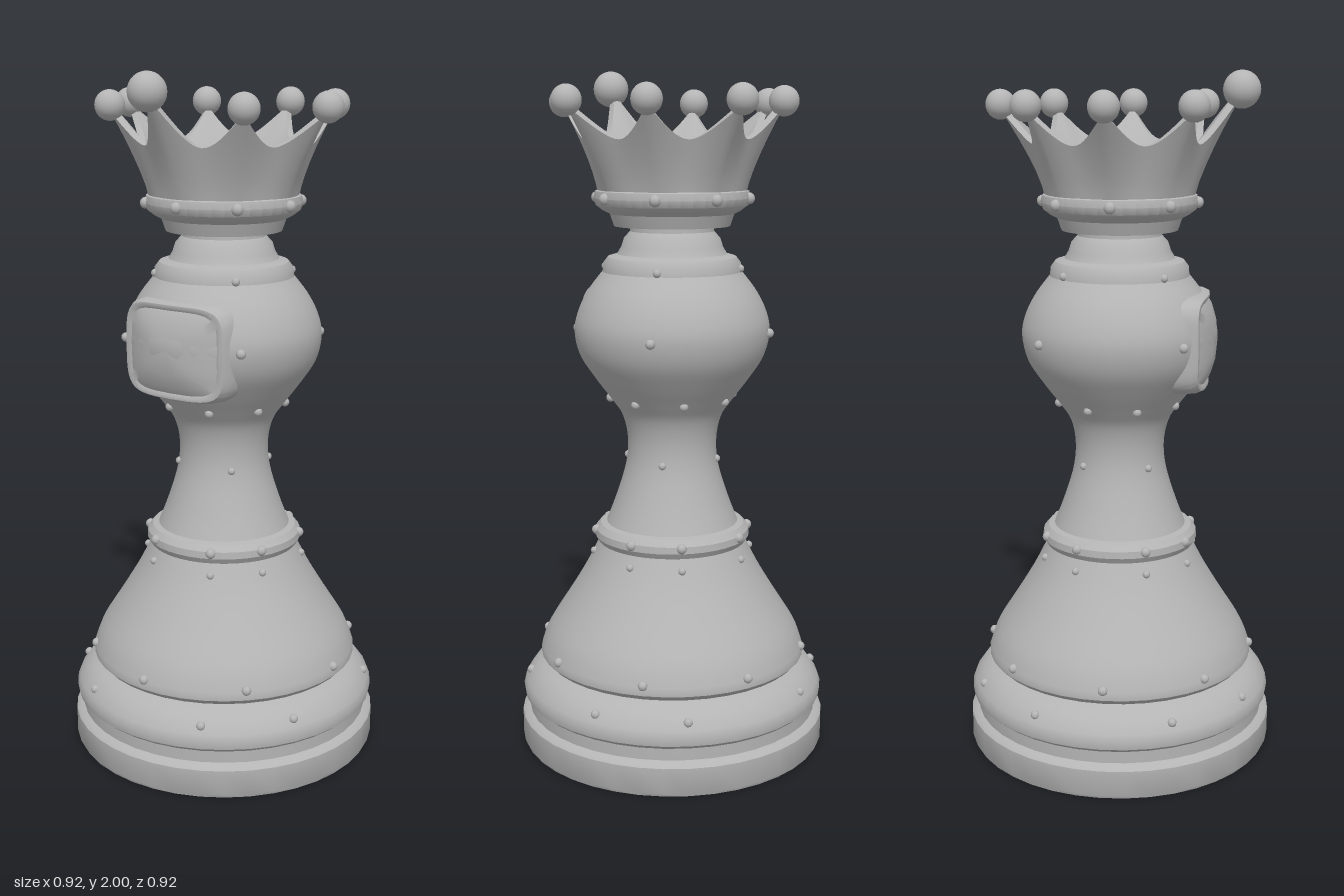
import * as THREE from 'three';
import { toCreasedNormals } from 'three/addons/utils/BufferGeometryUtils.js';
import { ParametricGeometry } from 'three/addons/geometries/ParametricGeometry.js';

const V2 = (p) => new THREE.Vector2(p[0], p[1]);

export function createModel() {
  const group = new THREE.Group();
  const stone = new THREE.MeshStandardMaterial({ color: 0xb4b4b4, side: THREE.DoubleSide });
  stone.name = 'grey stone';

  const add = (name, geometry, parent = group) => {
    const mesh = new THREE.Mesh(geometry, stone);
    mesh.name = name;
    parent.add(mesh);
    return mesh;
  };
  const turned = (name, points, sides = 40) =>
    add(name, toCreasedNormals(new THREE.LatheGeometry(points.map(V2), sides), 0.6));
  const spline = (points, n) =>
    new THREE.SplineCurve(points.map(V2)).getPoints(n).map((p) => [p.x, p.y]);

  // Stepped foot
  turned('base', [[0, 0], [0.455, 0], [0.46, 0.01], [0.46, 0.085], [0.45, 0.095], [0.437, 0.1],
    [0.437, 0.135], [0.452, 0.148], [0.455, 0.17], [0.447, 0.19], [0.425, 0.22], [0.4, 0.238],
    [0.37, 0.25], [0.37, 0.262], [0, 0.262]]);

  // Flared skirt
  turned('skirt', [[0.36, 0.25], [0.385, 0.256], [0.4, 0.272],
    ...spline([[0.4, 0.285], [0.375, 0.35], [0.312, 0.45], [0.258, 0.54], [0.213, 0.63]], 16)]);

  // Collar band
  turned('collar', [[0.2, 0.61], [0.222, 0.618], [0.232, 0.635], [0.23, 0.655], [0.215, 0.672], [0.18, 0.68]]);

  // Waist and round head
  turned('neckAndHead', spline([[0.203, 0.66], [0.168, 0.75], [0.138, 0.85], [0.132, 0.93], [0.147, 1.0],
    [0.18, 1.05], [0.225, 1.11], [0.27, 1.18], [0.286, 1.25], [0.275, 1.31], [0.245, 1.37], [0.203, 1.425]], 48));
  turned('shoulder', [[0.203, 1.42], [0.2, 1.45], [0.187, 1.467], [0.16, 1.475], [0.148, 1.495],
    [0.14, 1.52], [0.122, 1.54], [0.12, 1.57]]);

  // Domed face plate with a raised rounded frame
  const section = [[0, 0.286], [0.4, 0.282], [0.7, 0.272], [0.84, 0.262], [0.9, 0.268],
    [0.95, 0.268], [1, 0.252], [1.02, 0.22], [1, 0.15]];
  const facePlate = new ParametricGeometry((u, v, target) => {
    const a = u * Math.PI * 2;
    const [s, z] = section[Math.round((1 - v) * (section.length - 1))];
    const round = (c) => Math.sign(c) * Math.abs(c) ** 0.42;
    const x = 0.178 * s * round(Math.cos(a));
    const y = 0.14 * s * round(Math.sin(a));
    target.set(x, 1.24 + y, z - 0.9 * x * x - 0.4 * y * y);
  }, 64, section.length - 1);
  add('facePlate', toCreasedNormals(facePlate, 0.8));

  // Crown foot and band
  turned('crownBand', [[0, 1.555], [0.168, 1.555], [0.18, 1.59], [0.2, 1.6], [0.22, 1.615],
    [0.227, 1.635], [0.222, 1.655], [0.2, 1.665]]);

  // Crown wall: outside up, over the scalloped rim and down the inside
  const COUNT = 8;
  const tips = Array.from({ length: COUNT }, (_, i) => ({
    r: i % 2 ? 0.32 : 0.342,
    y: i === 0 ? 1.947 : 1.905,
    ball: i === 0 ? 0.053 : 0.043,
  }));
  const ROWS = 13;
  const wall = new ParametricGeometry((u, v, target) => {
    const a = u * Math.PI * 2;
    const nearest = Math.round(u * COUNT);
    const tip = tips[nearest % COUNT];
    const away = Math.min(1, Math.abs(u * COUNT - nearest) * 2);
    const peak = (1 - away) ** 1.9;
    const row = Math.round(v * ROWS);
    const inside = row > 6;
    const t = inside ? (ROWS - row) / 6 : row / 6;
    const bottom = inside ? 1.735 : 1.645;
    const topY = 1.8 + (tip.y - 0.015 - 1.8) * peak;
    const topR = 0.255 + (tip.r - 0.255) * peak;
    const foot = inside ? 0.185 : 0.213;
    const rim = inside ? topR - 0.022 : topR;
    const r = foot + (rim - foot) * t ** 1.25;
    target.set(Math.sin(a) * r, bottom + (topY - bottom) * t, Math.cos(a) * r);
  }, 128, ROWS);
  add('crownWall', toCreasedNormals(wall, 0.8));
  turned('crownFloor', [[0.2, 1.735], [0, 1.735]]);

  // Balls on the crown points, the front one larger
  const balls = new THREE.Group();
  balls.name = 'crownBalls';
  group.add(balls);
  tips.forEach((tip, i) => {
    const a = (i / COUNT) * Math.PI * 2;
    add('crownBall', new THREE.SphereGeometry(tip.ball, 20, 14), balls)
      .position.set(Math.sin(a) * tip.r, tip.y, Math.cos(a) * tip.r);
  });

  // Rings of small studs: [count, height, radius, start angle in degrees, size]
  const studs = new THREE.Group();
  studs.name = 'studs';
  group.add(studs);
  for (const [n, y, r, start, size] of [
    [8, 0.21, 0.432, 27, 0.013], [8, 0.3, 0.395, 0, 0.014], [8, 0.585, 0.236, 26, 0.011],
    [8, 0.65, 0.228, 26, 0.015], [4, 0.87, 0.135, 45, 0.011], [8, 1.055, 0.184, 22.5, 0.013],
    [4, 1.25, 0.287, 45, 0.014], [4, 1.435, 0.2, 45, 0.012], [8, 1.635, 0.224, 0, 0.017],
  ]) {
    const geometry = new THREE.SphereGeometry(size, 10, 8);
    for (let i = 0; i < n; i++) {
      // Off-centre rings are mirrored left to right
      const step = 360 / n;
      const deg = n === 8 && start ? Math.floor(i / 2) * 90 + (i % 2 ? 90 - start : start) : start + i * step;
      const a = THREE.MathUtils.degToRad(deg);
      add('stud', geometry, studs).position.set(Math.sin(a) * r, y, Math.cos(a) * r);
    }
  }

  return group;
}
